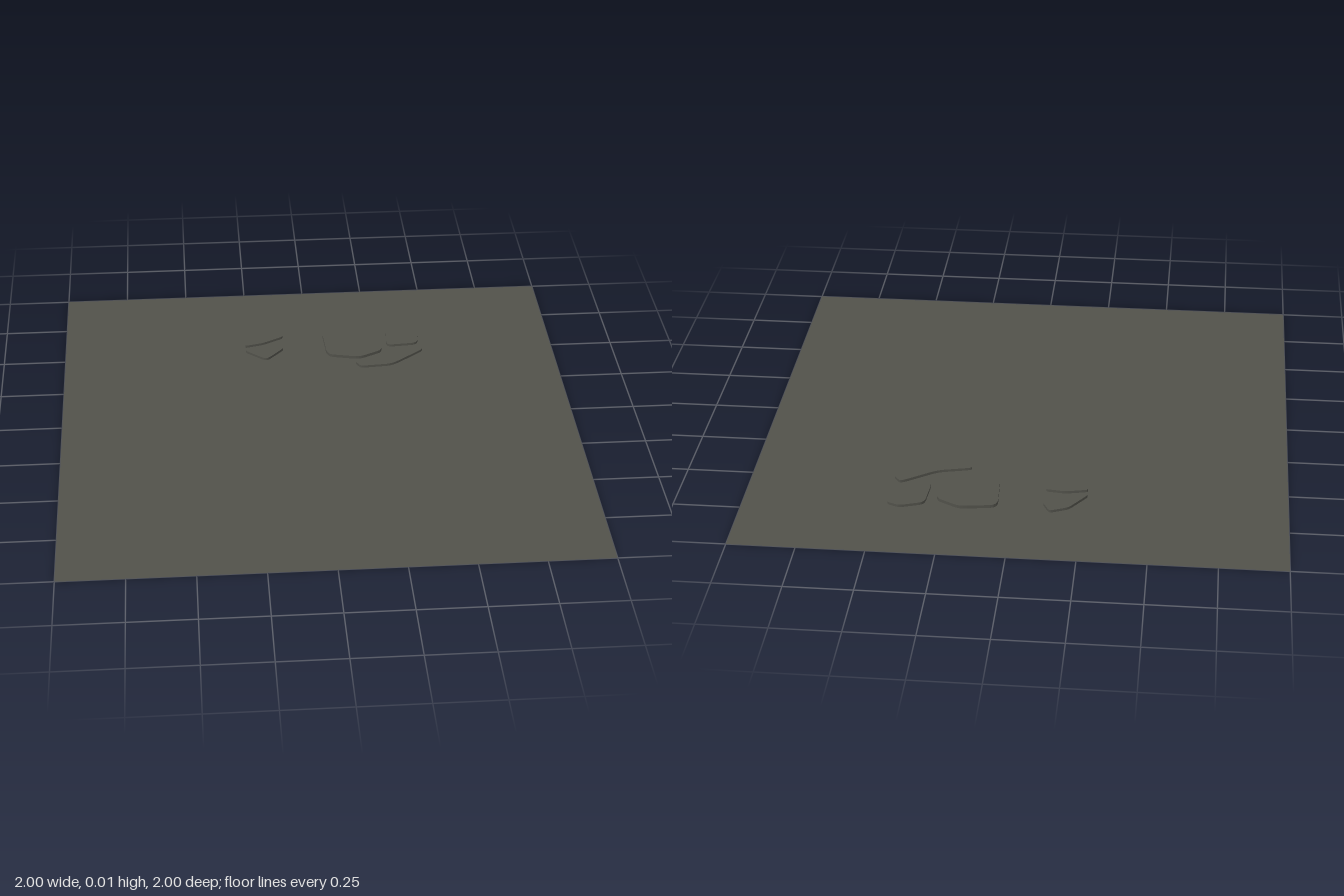
import * as THREE from 'three';

export function createModel() {
  const model = new THREE.Group();
  const ground = new THREE.MeshStandardMaterial({ color: 0x51514a, side: THREE.DoubleSide });
  ground.name = 'dark grey ground';

  // Flat square sheet
  const sheet = new THREE.Mesh(new THREE.PlaneGeometry(2, 2).rotateX(-Math.PI / 2), ground);
  sheet.name = 'groundSheet';
  model.add(sheet);

  // Low raised patch with rounded corners, outlined by [x, z] points
  const addPatch = (name, points, height = 0.01, rounding = 0.2) => {
    const corners = points.map(([x, z]) => new THREE.Vector2(x, -z));
    const shape = new THREE.Shape();
    corners.forEach((corner, i) => {
      const previous = corners[(i + corners.length - 1) % corners.length];
      const next = corners[(i + 1) % corners.length];
      const start = corner.clone().lerp(previous, rounding);
      const end = corner.clone().lerp(next, rounding);
      if (i === 0) shape.moveTo(start.x, start.y);
      else shape.lineTo(start.x, start.y);
      shape.quadraticCurveTo(corner.x, corner.y, end.x, end.y);
    });
    shape.closePath();
    const geometry = new THREE.ExtrudeGeometry(shape, { depth: height, bevelEnabled: false, curveSegments: 4 });
    const patch = new THREE.Mesh(geometry.rotateX(-Math.PI / 2), ground);
    patch.name = name;
    model.add(patch);
  };

  // Larger group of patches
  addPatch('mainPatch', [[0.07, -0.47], [0.2, -0.44], [0.3, -0.49], [0.29, -0.64], [0.2, -0.69], [0.06, -0.67]], 0.012);
  addPatch('sidePatch', [[0.32, -0.53], [0.45, -0.54], [0.47, -0.68], [0.42, -0.7], [0.33, -0.67]]);
  addPatch('frontPatch', [[0.18, -0.41], [0.2, -0.37], [0.33, -0.38], [0.47, -0.49], [0.44, -0.53], [0.31, -0.44]]);

  // Smaller group of patches
  addPatch('smallFrontPatch', [[-0.27, -0.53], [-0.18, -0.45], [-0.1, -0.54], [-0.18, -0.55]]);
  addPatch('smallBackPatch', [[-0.27, -0.56], [-0.19, -0.58], [-0.1, -0.63], [-0.13, -0.69], [-0.2, -0.66]]);

  return model;
}
